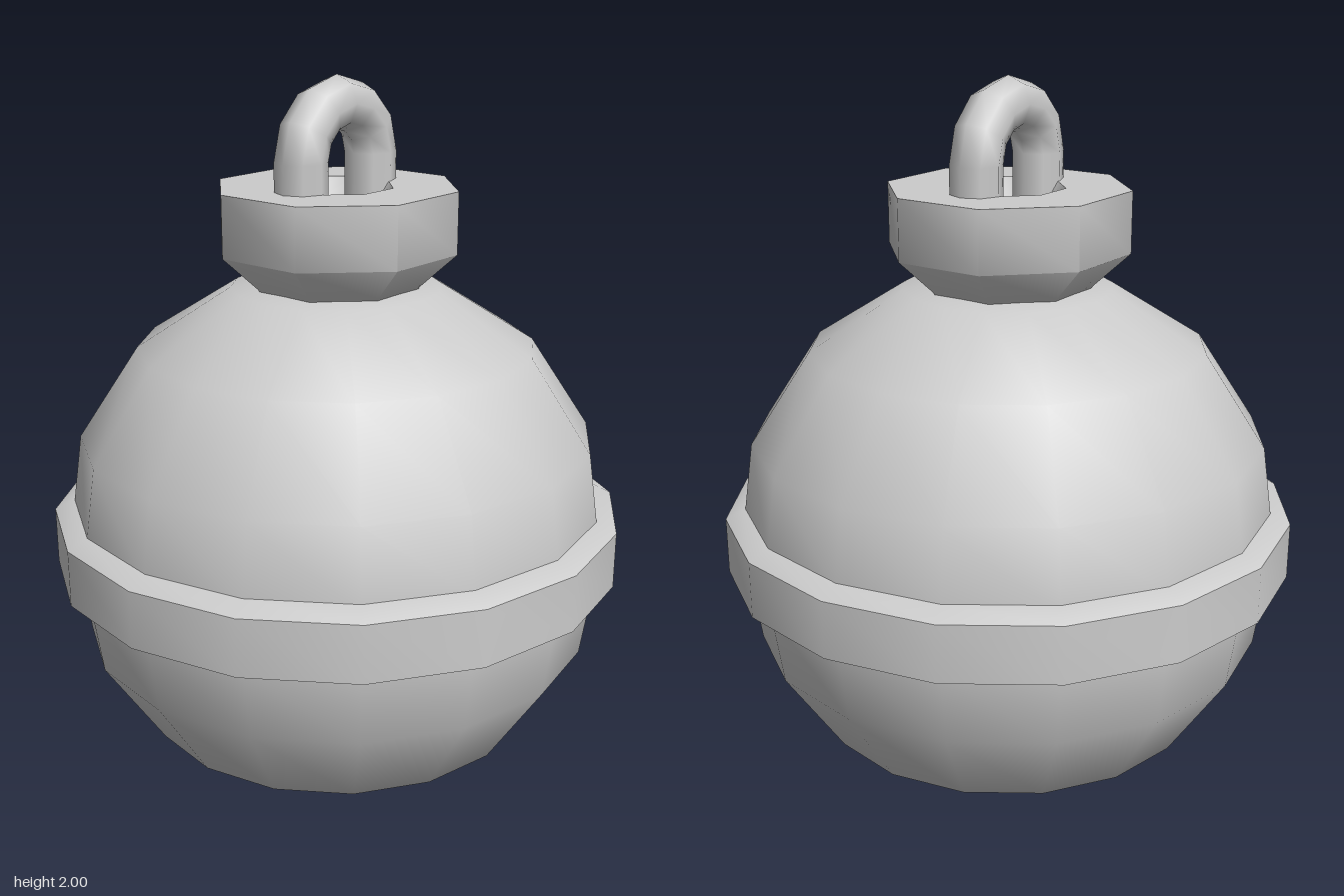
import * as THREE from 'three';
import { toCreasedNormals } from 'three/addons/utils/BufferGeometryUtils.js';

const material = new THREE.MeshStandardMaterial({ color: 0xcccccc });
const FLAT = Math.cos(Math.PI / 8); // octagon apothem / corner radius

function lathe(profile, segments, start = 0) {
  const points = profile.map(([r, y]) => new THREE.Vector2(r, y));
  return new THREE.LatheGeometry(points, segments, start);
}

function add(parent, name, geometry) {
  const mesh = new THREE.Mesh(geometry, material);
  mesh.name = name;
  parent.add(mesh);
  return mesh;
}

export function createModel() {
  const model = new THREE.Group();
  model.name = 'ornament';

  // Ball: 16 sides, narrowing to an octagon at the bottom
  const ball = lathe([
    [0.14 / FLAT, 0], [0.285, 0.045], [0.54, 0.208], [0.705, 0.457], [0.735, 0.66],
    [0.735, 0.83], [0.705, 1.037], [0.54, 1.286], [0.285, 1.447], [0.14, 1.46], [0, 1.46],
  ], 16);
  const pos = ball.attributes.position;
  for (let i = 0; i < pos.count; i++) {
    const column = Math.floor(i / 11);
    if (i % 11 === 0 && column % 2 === 0) {
      pos.setXYZ(i, pos.getX(i) * FLAT, 0, pos.getZ(i) * FLAT);
    }
  }
  add(model, 'ball', toCreasedNormals(ball, 1));

  // Flat octagonal foot closing the ball
  const foot = new THREE.CircleGeometry(0.14 / FLAT, 8, Math.PI / 8);
  foot.rotateX(Math.PI / 2);
  add(model, 'foot', foot);

  // Chamfered band around the middle
  const band = lathe([[0.7, 0.643], [0.735, 0.643], [0.787, 0.667], [0.787, 0.823], [0.735, 0.85], [0.7, 0.85]], 16);
  add(model, 'band', toCreasedNormals(band, 0.8));

  // Octagonal cap with a recess for the loop
  const cap = lathe([
    [0.2, 1.44], [0.215, 1.46], [0.305, 1.55], [0.305, 1.715],
    [0.143, 1.715], [0.05, 1.57], [0, 1.57],
  ].map(([r, y]) => [r / FLAT, y]), 8, Math.PI / 8);
  add(model, 'cap', toCreasedNormals(cap, 0.9));

  // Hanging loop: half ring on two legs
  const loop = new THREE.Group();
  loop.name = 'loop';
  model.add(loop);
  add(loop, 'loopArch', new THREE.TorusGeometry(0.14, 0.07, 8, 6, Math.PI)).position.y = 1.79;
  for (const side of [-1, 1]) {
    const leg = add(loop, side > 0 ? 'leftLeg' : 'rightLeg', new THREE.CylinderGeometry(0.07, 0.07, 0.2, 8, 1));
    leg.position.set(side * 0.14, 1.69, 0);
  }
  return model;
}
